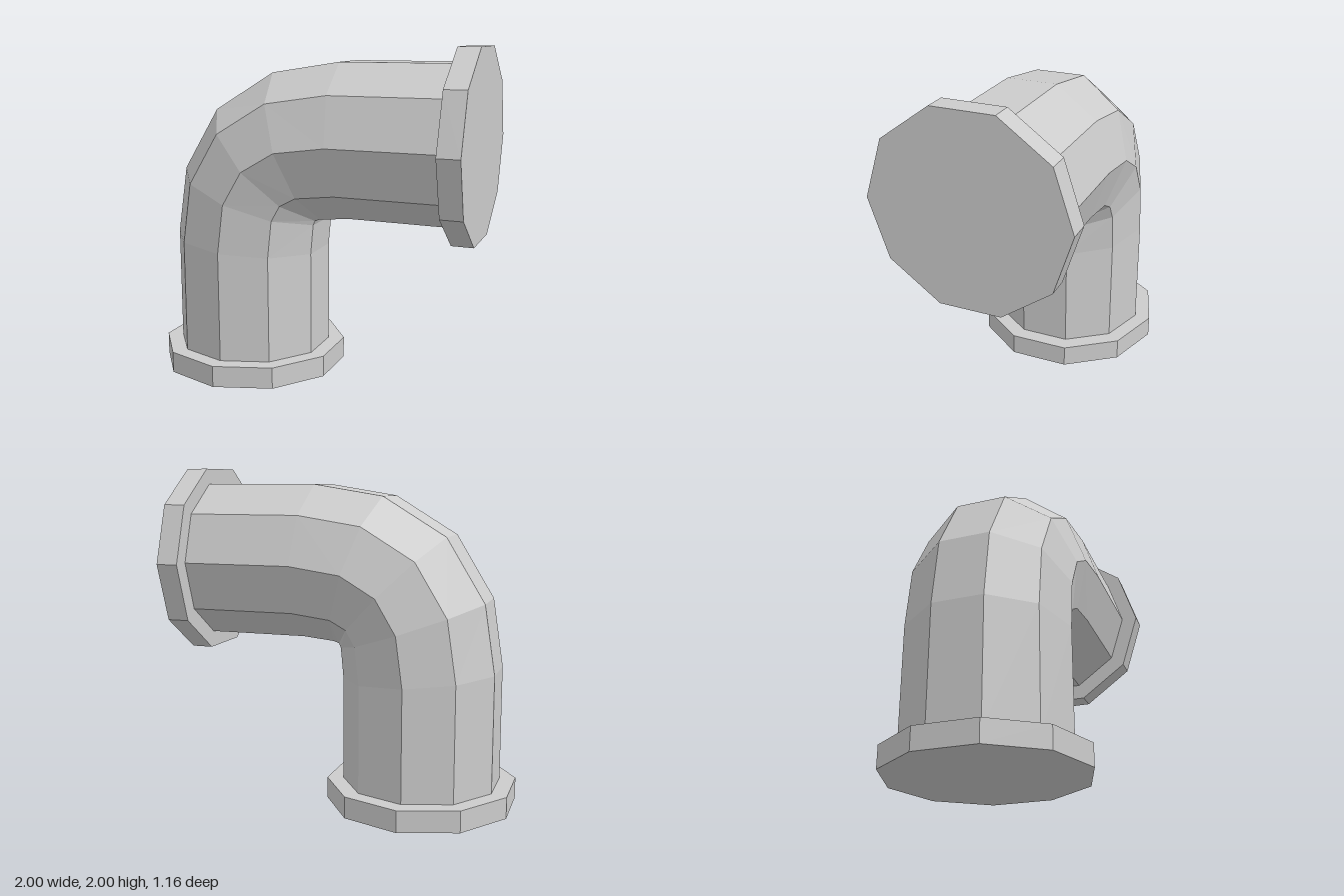
import * as THREE from 'three';

const SIDES = 10;
const PIPE_RADIUS = 0.48;
const FLANGE_RADIUS = 0.578;
const FLANGE_DEPTH = 0.13;

// Sweep a ten-sided ring through stations of [x, y, tilt in degrees].
function sweepPipe(stations) {
  const positions = [];
  const indices = [];
  for (const [x, y, degrees] of stations) {
    const tilt = THREE.MathUtils.degToRad(degrees);
    for (let k = 0; k < SIDES; k++) {
      const a = (k / SIDES) * Math.PI * 2;
      const out = PIPE_RADIUS * Math.sin(a);
      positions.push(x - out * Math.cos(tilt), y + out * Math.sin(tilt), PIPE_RADIUS * Math.cos(a));
    }
  }
  for (let j = 0; j < stations.length - 1; j++) {
    for (let k = 0; k < SIDES; k++) {
      const p = j * SIDES + k;
      const q = j * SIDES + (k + 1) % SIDES;
      indices.push(p, p + SIDES, q, q, p + SIDES, q + SIDES);
    }
  }
  const geometry = new THREE.BufferGeometry();
  geometry.setAttribute('position', new THREE.Float32BufferAttribute(positions, 3));
  geometry.setIndex(indices);
  const flat = geometry.toNonIndexed();
  flat.computeVertexNormals();
  return flat;
}

export function createModel() {
  const group = new THREE.Group();
  group.name = 'pipeElbow';
  const metal = new THREE.MeshStandardMaterial({ color: 0xcccccc });
  metal.name = 'light grey metal';
  metal.flatShading = true;

  // Bent pipe, from the lower flange round to the side flange
  const pipe = new THREE.Mesh(sweepPipe([
    [-0.45, 0.1, 0],
    [-0.45, 0.795, 4.5],
    [-0.41, 1.09, 19.2],
    [-0.29, 1.29, 45],
    [-0.085, 1.41, 70.8],
    [0.22, 1.453, 85.5],
    [0.9, 1.453, 90],
  ]), metal);
  pipe.name = 'bentPipe';
  group.add(pipe);

  // Closed flange discs at both ends
  const disc = new THREE.CylinderGeometry(FLANGE_RADIUS, FLANGE_RADIUS, FLANGE_DEPTH, SIDES);
  const lower = new THREE.Mesh(disc, metal);
  lower.name = 'lowerFlange';
  lower.position.set(-0.45, FLANGE_DEPTH / 2, 0);
  const side = new THREE.Mesh(disc, metal);
  side.name = 'sideFlange';
  side.rotation.z = -Math.PI / 2;
  side.position.set(1 - FLANGE_DEPTH / 2, 1.45, 0);
  group.add(lower, side);

  return group;
}
